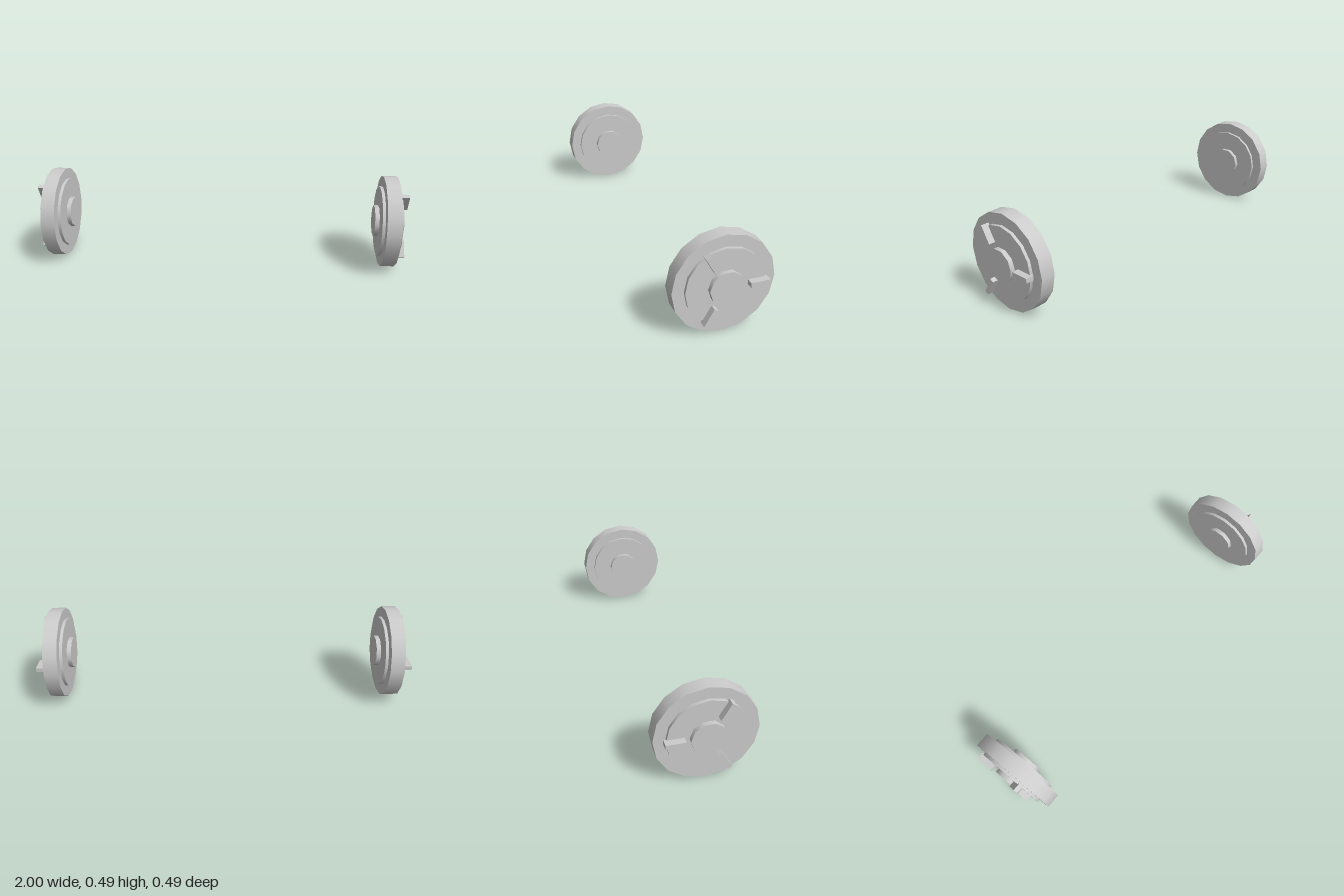
import * as THREE from 'three';

const material = new THREE.MeshStandardMaterial({ color: 0xcccccc });
const AXLE_Y = 0.249; // wheel centre height
const AXLE_X = 0.913; // wheel centre distance from the middle

// Solid disc whose axis runs along x
function disc(name, radius, width, sides) {
  const geometry = new THREE.CylinderGeometry(radius, radius, width, sides).rotateZ(Math.PI / 2);
  const mesh = new THREE.Mesh(geometry, material);
  mesh.name = name;
  return mesh;
}

// One wheel; side is +1 for left (+x), -1 for right (-x)
function createWheel(side) {
  const wheel = new THREE.Group();
  wheel.name = side > 0 ? 'leftWheel' : 'rightWheel';
  wheel.add(
    disc('tyre', 0.247, 0.075, 16),
    disc('rim', 0.19, 0.107, 16),
    disc('hubCap', 0.084, 0.154, 10)
  );

  // Three radial fins on the outer face, the first pointing backwards
  for (let i = 0; i < 3; i++) {
    const geometry = new THREE.BoxGeometry(0.041, 0.023, 0.094);
    geometry.translate(side * (0.9795 - AXLE_X), 0, -0.154);
    const fin = new THREE.Mesh(geometry, material);
    fin.name = 'fin' + (i + 1);
    fin.rotation.x = (i * Math.PI * 2) / 3;
    wheel.add(fin);
  }

  wheel.position.set(side * AXLE_X, AXLE_Y, 0);
  return wheel;
}

export function createModel() {
  const model = new THREE.Group();
  model.name = 'wheelPair';
  for (const side of [1, -1]) model.add(createWheel(side));
  return model;
}
